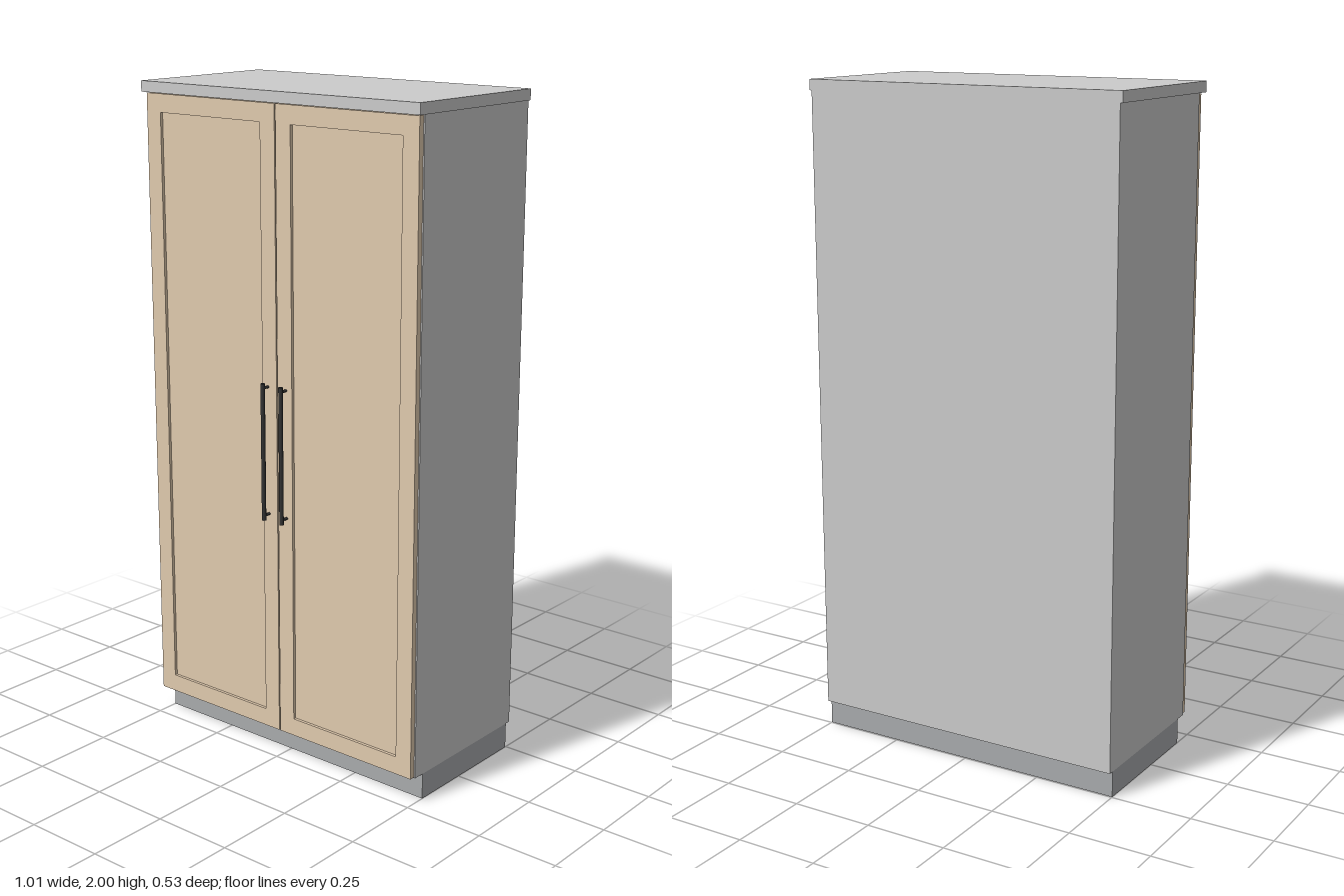
import * as THREE from 'three';

const grey = new THREE.MeshStandardMaterial({ color: 0xcccccc });
const plinthGrey = new THREE.MeshStandardMaterial({ color: 0xa9abad });
const wood = new THREE.MeshStandardMaterial({ color: 0xe0caae });
const dark = new THREE.MeshStandardMaterial({ color: 0x333333 });

// Box given by its minimum and maximum corners
function box(name, material, [x0, y0, z0], [x1, y1, z1]) {
  const mesh = new THREE.Mesh(new THREE.BoxGeometry(x1 - x0, y1 - y0, z1 - z0), material);
  mesh.position.set((x0 + x1) / 2, (y0 + y1) / 2, (z0 + z1) / 2);
  mesh.name = name;
  return mesh;
}

function rectangle(path, x0, y0, x1, y1) {
  path.moveTo(x0, y0);
  path.lineTo(x1, y0);
  path.lineTo(x1, y1);
  path.lineTo(x0, y1);
  path.closePath();
  return path;
}

// Framed door with a shallow recessed panel
function createDoor(x0, x1) {
  const y0 = 0.082, y1 = 1.965, back = 0.217, front = 0.234;
  const rail = 0.054, recess = 0.009;
  const door = new THREE.Group();

  const outline = rectangle(new THREE.Shape(), x0, y0, x1, y1);
  outline.holes.push(rectangle(new THREE.Path(), x0 + rail, y0 + rail, x1 - rail, y1 - rail));
  const frame = new THREE.Mesh(
    new THREE.ExtrudeGeometry(outline, { depth: front - back, bevelEnabled: false }), wood);
  frame.position.z = back;
  frame.name = 'doorFrame';

  door.add(frame, box('doorPanel', wood,
    [x0 + rail, y0 + rail, back], [x1 - rail, y1 - rail, front - recess]));
  return door;
}

// Round bar handle on two standoffs
function createHandle(x) {
  const handle = new THREE.Group();
  const bar = new THREE.Mesh(new THREE.CylinderGeometry(0.0065, 0.0065, 0.414, 16), dark);
  bar.position.set(x, 0.963, 0.2575);
  bar.name = 'handleBar';
  handle.add(bar);
  for (const y of [0.77, 1.156]) {
    const post = new THREE.Mesh(new THREE.CylinderGeometry(0.004, 0.004, 0.026, 12), dark);
    post.rotation.x = Math.PI / 2;
    post.position.set(x, y, 0.245);
    post.name = 'handleStandoff';
    handle.add(post);
  }
  return handle;
}

export function createModel() {
  const model = new THREE.Group();
  model.name = 'wardrobe';

  // Recessed base, carcass and overhanging top
  model.add(
    box('plinth', plinthGrey, [-0.5, 0, -0.247], [0.5, 0.079, 0.18]),
    box('carcass', grey, [-0.5, 0.079, -0.264], [0.5, 1.968, 0.216]),
    box('topBoard', grey, [-0.507, 1.968, -0.264], [0.507, 2, 0.246]));

  // Pair of doors with handles beside the centre gap
  for (const [side, s] of [['left', 1], ['right', -1]]) {
    const edges = [s * 0.002, s * 0.497];
    const door = createDoor(Math.min(...edges), Math.max(...edges));
    door.name = side + 'Door';
    const handle = createHandle(s * 0.034);
    handle.name = side + 'Handle';
    model.add(door, handle);
  }
  return model;
}
